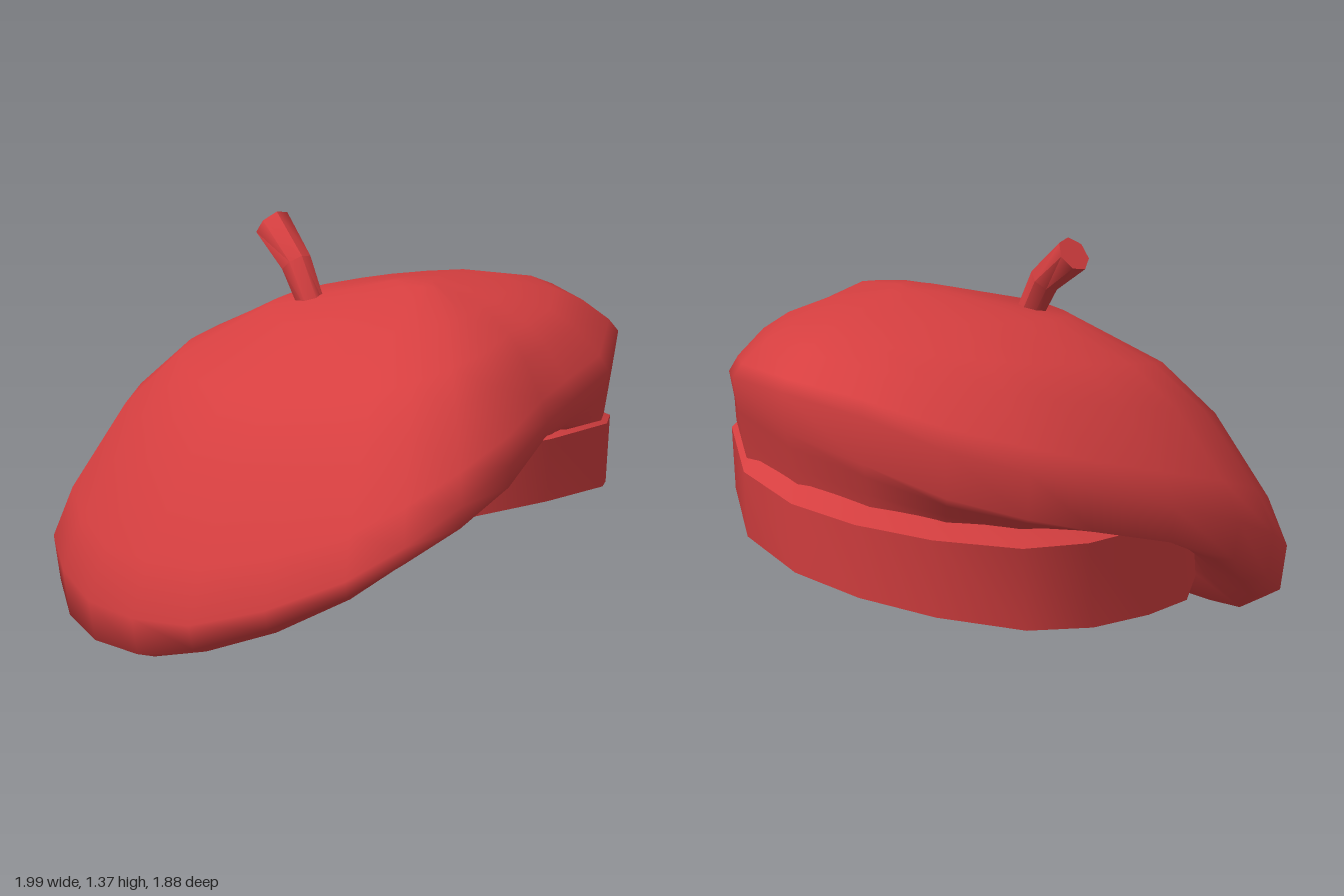
import * as THREE from 'three';
import { mergeVertices, toCreasedNormals } from 'three/addons/utils/BufferGeometryUtils.js';

// Skin a list of closed rings, ordered from top to bottom
function loft(rings) {
  const n = rings[0].length, index = [];
  for (let k = 0; k < rings.length - 1; k++) {
    for (let i = 0; i < n; i++) {
      const j = (i + 1) % n;
      const a = k * n + i, b = k * n + j, c = a + n, d = b + n;
      index.push(a, b, c, b, d, c);
    }
  }
  const geo = new THREE.BufferGeometry();
  geo.setAttribute('position', new THREE.Float32BufferAttribute(rings.flat(2), 3));
  geo.setIndex(index);
  const merged = mergeVertices(geo, 1e-5);
  merged.computeVertexNormals();
  return merged;
}

const { lerp, smoothstep } = THREE.MathUtils;
const lerp3 = (p, q, t) => p.map((v, i) => lerp(v, q[i], t));

// Plan of the head band: x, z
const BAND = [
  [0.97, -0.055], [0.88, 0.235], [0.57, 0.56], [0.13, 0.765], [-0.19, 0.72],
  [-0.53, 0.63], [-0.71, 0.25], [-0.74, -0.21], [-0.49, -0.56], [-0.28, -0.705],
  [-0.03, -0.755], [0.27, -0.77], [0.54, -0.71], [0.78, -0.515], [0.92, -0.295],
];
const CENTER_X = 0.115;

// Tilted planes of the head band
const bandBottom = (x, z) => 0.325 + 0.03 * x + 0.25 * z;
const bandTop = (x, z) => 0.58 + 0.01 * x + 0.195 * z;

// Outline of the crown: x, z, height of widest line, height of lower edge
const RIM = [
  [-1.0, -0.06, 0.15, 0.025], [-0.94, -0.34, 0.16, 0.025], [-0.81, -0.61, 0.21, 0.055],
  [-0.67, -0.81, 0.28, 0.13], [-0.5, -0.9, 0.36, 0.21], [-0.28, -0.94, 0.44, 0.31],
  [0.02, -0.915, 0.53, 0.41], [0.32, -0.83, 0.62, 0.48], [0.54, -0.72, 0.7, 0.54],
  [0.76, -0.54, 0.79, 0.62], [0.92, -0.3, 0.9, 0.73], [0.98, 0.0, 0.95, 0.81],
  [0.86, 0.32, 0.94, 0.82], [0.57, 0.59, 0.88, 0.79], [0.32, 0.69, 0.83, 0.76],
  [0.13, 0.77, 0.79, 0.73], [-0.18, 0.93, 0.71, 0.63], [-0.41, 0.935, 0.6, 0.52],
  [-0.63, 0.89, 0.48, 0.42], [-0.76, 0.74, 0.36, 0.3], [-0.89, 0.48, 0.24, 0.17],
  [-0.98, 0.2, 0.16, 0.075],
];

// Dome profile: distance from the top, relative height
const DOME = [[0, 1], [0.1, 1], [0.43, 0.897], [0.67, 0.71], [0.81, 0.512], [0.95, 0.187], [1, 0]];

function crownGeometry() {
  const top = [0.2, 1.168, 0.11];
  const rings = DOME.map(([s, h]) => RIM.map(([x, z, y]) =>
    [lerp(top[0], x, s), lerp(y, top[1], h), lerp(top[2], z, s)]));
  // Lower edge, then rounded underside running up in to the band
  const low = RIM.map(([x, z, , y]) => [x * 0.975, y, z * 0.98]);
  const neck = RIM.map(([x, z]) => {
    const a = Math.atan2(z / 0.77, (x - CENTER_X) / 0.86);
    const t = smoothstep(CENTER_X + 0.86 * Math.cos(a), -0.7, 0.1);
    const k = lerp(0.92, 0.9, t);
    const nx = CENTER_X + 0.86 * k * Math.cos(a), nz = 0.77 * k * Math.sin(a);
    return [nx, lerp(bandBottom(nx, nz) + 0.12, bandTop(nx, nz) + 0.015, t), nz];
  });
  const under = (t, sag) => low.map((p, i) => {
    const q = lerp3(p, neck[i], t);
    q[1] -= sag * (1 - smoothstep(neck[i][0], -0.7, 0.1));
    return q;
  });
  rings.push(low, under(0.25, 0.115), under(0.62, 0.1), neck);
  return loft(rings);
}

// Band with an underside ring, head opening and sloping lining
function bandGeometry() {
  const outer = (k, shift, height, rise = 0) => BAND.map(([x, z]) =>
    [CENTER_X + (x - CENTER_X) * k + shift, height(x, z) + rise, z * k]);
  const opening = (r, height) => BAND.map((_, i) => {
    const a = (i / BAND.length) * Math.PI * 2;
    const x = 0.07 + 0.53 * r * Math.cos(a), z = 0.04 + 0.52 * r * Math.sin(a);
    return [x, height(x, z), z];
  });
  const lining = (x, z) => 0.48 + 0.16 * x + 0.1 * z;
  return toCreasedNormals(loft([
    outer(0.83, 0, bandTop, 0.07),
    outer(1, 0.02, bandTop),
    outer(1, 0, bandBottom),
    opening(1, bandBottom),
    opening(1, lining),
    opening(0, lining),
  ]), 0.7);
}

// Bent stalk that widens to its tip
function stalkGeometry() {
  const ring = ([cx, cy, cz], r, lean) => Array.from({ length: 7 }, (_, i) => {
    const a = (i / 7) * Math.PI * 2, s = r * Math.sin(a);
    return [cx + r * Math.cos(a), cy + s * Math.sin(lean), cz + s * Math.cos(lean)];
  });
  const tip = [-0.048, 1.32, -0.405];
  return toCreasedNormals(loft([
    ring(tip, 0, 0.92),
    ring(tip, 0.064, 0.92),
    ring([-0.075, 1.21, -0.255], 0.054, 0.7),
    ring([-0.07, 1.05, -0.17], 0.045, 0.4),
  ]), 0.9);
}

export function createModel() {
  const group = new THREE.Group();
  group.name = 'beret';
  const felt = new THREE.MeshStandardMaterial({ color: 0xd63f40 });
  felt.name = 'red felt';
  const parts = { crown: crownGeometry(), headBand: bandGeometry(), stalk: stalkGeometry() };
  for (const [name, geometry] of Object.entries(parts)) {
    const mesh = new THREE.Mesh(geometry, felt);
    mesh.name = name;
    group.add(mesh);
  }
  return group;
}
